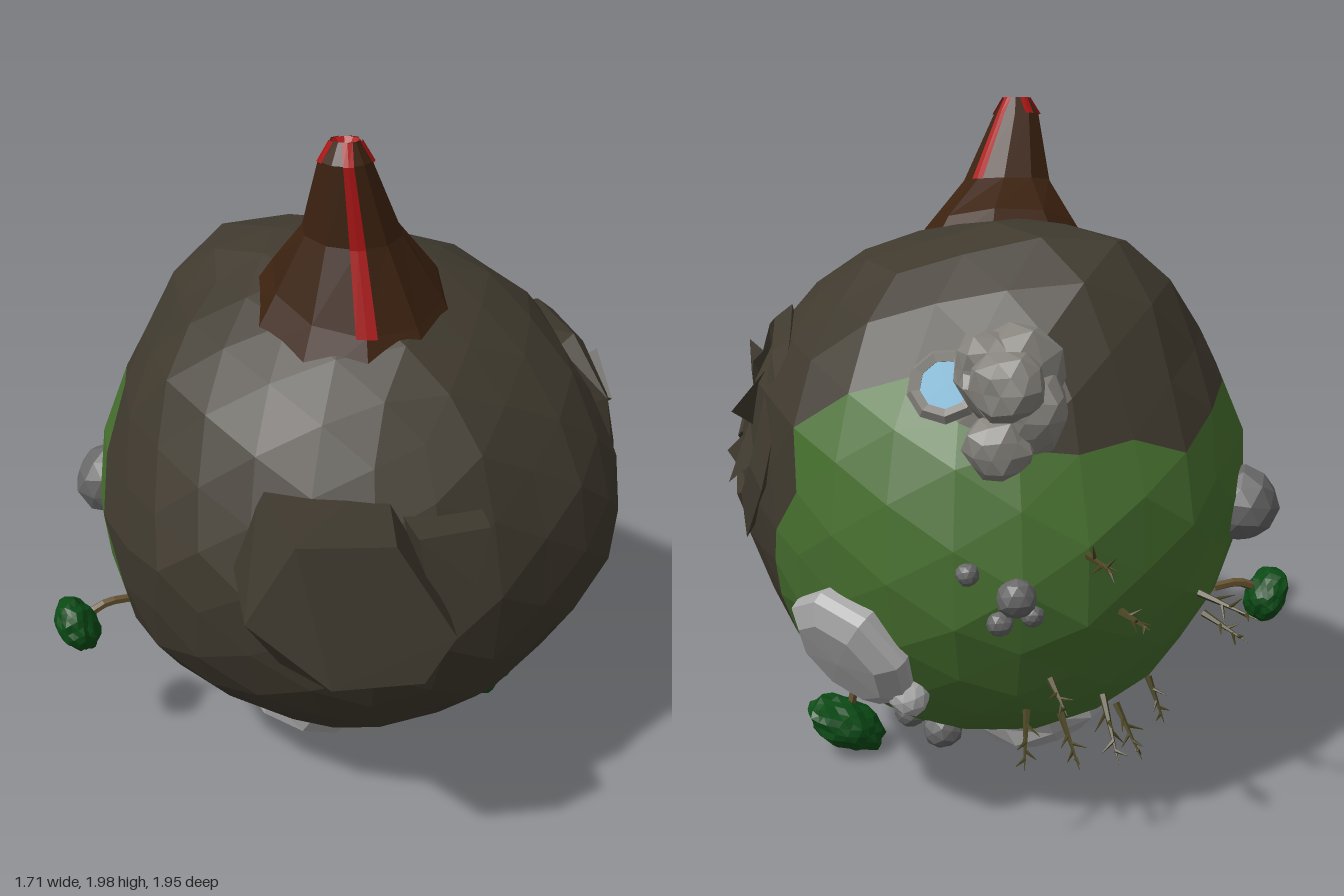
import * as THREE from 'three';
import { ConvexGeometry } from 'three/addons/geometries/ConvexGeometry.js';

const V = (x, y, z) => new THREE.Vector3(x, y, z);
const UP = V(0, 1, 0);
const CENTRE = V(0.085, 0.895, 0);
const RADIUS = 0.752;
const mat = (color) => new THREE.MeshStandardMaterial({ color, flatShading: true, side: THREE.DoubleSide });
const STONE = mat(0x3f392e), GRASS = mat(0x47702f), CONE = mat(0x3c2210), LAVA = mat(0xaa1414);
const PALE = mat(0xa9a9a9), GREY = mat(0x666666), CLIFF = mat(0x85827c), WATER = mat(0x4a9cc0);
const LEAF = mat(0x0b4a15), BARK = mat(0x63502f), THORN = mat(0x4a4423);

const mesh = (name, geo, material) => {
  const m = new THREE.Mesh(geo, material);
  m.name = name;
  return m;
};
const outward = (p) => p.clone().sub(CENTRE).normalize();
// Position an object and turn its y axis along a direction
const aim = (obj, p, dir = outward(p)) => {
  obj.position.copy(p);
  obj.quaternion.setFromUnitVectors(UP, dir.clone().normalize());
  return obj;
};
// Position-based noise, so vertices that coincide move together
const noise = (p, seed) => {
  const k = [p.x, p.y, p.z].map((c) => Math.round(c * 500));
  const s = Math.sin(k[0] * 12.9898 + k[1] * 78.233 + k[2] * 37.719 + seed * 4.7) * 43758.5453;
  return (s - Math.floor(s)) * 2 - 1;
};
const warp = (geo, rule) => {
  const a = geo.attributes.position, p = V(0, 0, 0);
  for (let i = 0; i < a.count; i++) {
    rule(p.fromBufferAttribute(a, i));
    a.setXYZ(i, p.x, p.y, p.z);
  }
  geo.computeVertexNormals();
  return geo;
};
const boulder = (name, material, p, size, seed, detail = 1, rough = 0.1) => {
  const geo = warp(new THREE.IcosahedronGeometry(1, detail), (v) => v.multiplyScalar(1 + rough * noise(v, seed)));
  geo.scale(...size);
  return aim(mesh(name, geo, material), p);
};

// Height of the grass edge for each bearing around the globe (0 = back, + = towards +x)
const EDGE = [[-180, -0.74], [-135, -0.66], [-110, -0.45], [-98, 0], [-80, 0.38], [-55, 0.27], [-12, 0.22], [6, 0.24],
  [25, 0.4], [37, 0.39], [55, 0.05], [65, -0.24], [75, -0.48], [105, -0.53], [131, -0.64], [150, -0.69], [180, -0.74]];
const grassEdge = (p) => {
  const deg = Math.atan2(p.x, -p.z) * 180 / Math.PI;
  const i = Math.max(1, EDGE.findIndex((e) => e[0] >= deg));
  const [a, b] = [EDGE[i - 1], EDGE[i]];
  return a[1] + (b[1] - a[1]) * (deg - a[0]) / (b[0] - a[0]);
};

// Swellings and dents of the globe: direction, height, spread
const BUMPS = [[V(-0.35, 0.75, -0.36), 0.095, 0.06], [V(-0.75, -0.25, 0.35), 0.04, 0.1], [V(0.75, 0, 0.55), 0.05, 0.08],
  [V(0, -0.15, 1), 0.075, 0.1], [V(0.95, 0, -0.28), -0.045, 0.06], [V(0, -0.25, -1), 0.07, 0.15], [V(0.7, -0.5, 0), -0.025, 0.1],
  [V(0.1, 0.5, -0.8), -0.03, 0.05], [V(0.15, -1, -0.05), 0.015, 0.1]].map(([d, h, w]) => [d.normalize(), h, w]);

// Bumpy globe, its faces split into bare stone and grass
function globe() {
  const geo = warp(new THREE.IcosahedronGeometry(1, 4), (v) => {
    // Vertices near the grass edge slide onto it, so the edge runs cleanly
    const edge = grassEdge(v) / RADIUS;
    if (Math.abs(v.y - edge) < 0.075) v.setY(edge).normalize();
    let r = RADIUS + 0.012 * noise(v, 3);
    for (const [d, h, w] of BUMPS) r += h * Math.exp(-(1 - v.dot(d)) / w);
    v.multiplyScalar(r);
  });
  const a = geo.attributes.position, stone = [], grass = [];
  for (let i = 0; i < a.count; i += 3) {
    const tri = [0, 1, 2].map((k) => V(0, 0, 0).fromBufferAttribute(a, i + k));
    const c = V(0, 0, 0).add(tri[0]).add(tri[1]).add(tri[2]).divideScalar(3);
    const list = c.y < grassEdge(c) ? grass : stone;
    for (const p of tri) list.push(...p.add(CENTRE).toArray());
  }
  const build = (name, list, m) => {
    const g = new THREE.BufferGeometry();
    g.setAttribute('position', new THREE.Float32BufferAttribute(list, 3));
    g.computeVertexNormals();
    return mesh(name, g, m);
  };
  return [build('stoneGround', stone, STONE), build('grassGround', grass, GRASS)];
}

// Volcano rings: centre, radius, tilt
const RINGS = [[V(0.03, 1.46, 0.21), 0.32, 0.4], [V(0.025, 1.6, 0.22), 0.235, 0.36], [V(0, 1.75, 0.255), 0.135, 0.12],
  [V(-0.035, 1.95, 0.31), 0.07, 0.05], [V(-0.035, 2, 0.31), 0.038, 0], [V(-0.035, 1.96, 0.31), 0.004, 0]];
const column = (i) => i * Math.PI / 5 - 0.135;
const ringPoint = (k, angle, grow = 0) => {
  const [c, r, tilt] = RINGS[k];
  const x = (r + grow) * Math.cos(angle), z = (r + grow) * Math.sin(angle);
  return V(c.x + x, c.y - tilt * z, c.z + z);
};
function loft(rows) {
  const n = rows[0].length, index = [], g = new THREE.BufferGeometry();
  for (let k = 0; k < rows.length - 1; k++) for (let i = 0; i < n - 1; i++) {
    const a = k * n + i, b = a + n;
    index.push(a, b, a + 1, a + 1, b, b + 1);
  }
  g.setAttribute('position', new THREE.Float32BufferAttribute(rows.flat().flatMap((p) => p.toArray()), 3));
  g.setIndex(index);
  g.computeVertexNormals();
  return g;
}
function volcano() {
  const g = new THREE.Group();
  g.name = 'volcano';
  const rows = (from, to) => RINGS.slice(from, to).map((_, k) =>
    Array.from({ length: 11 }, (_, i) => ringPoint(from + k, column(i % 10))));
  g.add(mesh('volcanoCone', loft(rows(0, 5)), CONE), mesh('craterLava', loft(rows(4, 6)), LAVA));
  // Lava streaks: column, lowest ring
  for (const [i, low] of [[3, 1], [9, 2], [5, 3], [1, 3], [7, 3]]) {
    const strip = [];
    for (let k = low; k < 5; k++) {
      const half = [0, 0.028, 0.02, 0.013, 0.012][k] / RINGS[k][1];
      strip.push([-half, 0, half].map((d) => ringPoint(k, column(i) + d, 0.005)));
    }
    g.add(mesh('lavaStreak', loft(strip), LAVA));
  }
  return g;
}

// Angular outcrops on the front
function outcrops() {
  const big = [[-0.44, 0.97, 0.85], [-0.32, 1.18, 0.88], [-0.08, 1.17, 0.92], [0.06, 0.93, 0.98], [-0.02, 0.81, 0.98], [-0.25, 0.81, 0.95],
    [-0.4, 0.97, 0.5], [-0.32, 1.17, 0.5], [0.02, 1.17, 0.5], [0.14, 0.93, 0.5], [-0.02, 0.74, 0.75], [-0.32, 0.74, 0.7]];
  const small = [[0, 1.14, 0.85], [0.2, 1.13, 0.82], [0.15, 1.0, 0.87], [0.04, 0.9, 0.88], [0, 1.14, 0.5], [0.23, 1.13, 0.6], [0.2, 0.92, 0.65]];
  return [big, small].map((pts) => mesh('frontOutcrop', new ConvexGeometry(pts.map((p) => V(...p))), STONE));
}

// Broken impact crater on the +x side
function crater() {
  const g = new THREE.Group();
  g.name = 'sideCrater';
  const rim = new THREE.TorusGeometry(0.29, 0.06, 4, 10).rotateX(Math.PI / 2);
  warp(rim, (v) => v.multiplyScalar(1 + 0.12 * noise(v, 8)));
  rim.scale(1, 0.7, 1);
  g.add(mesh('craterRim', rim, STONE));
  for (let i = 0; i < 6; i++) {
    const t = i / 6 * Math.PI * 2, r = 0.1 + 0.03 * (i % 3);
    const shard = mesh('craterShard', new THREE.TetrahedronGeometry(0.13).scale(1, 0.4, 1), STONE);
    shard.position.set(r * Math.cos(t), 0.035, r * Math.sin(t));
    shard.rotation.set(0.35 * Math.sin(i * 2), i * 2.1, 0.35 * Math.cos(i * 3));
    g.add(shard);
  }
  return aim(g, V(0.735, 1.09, 0.03), V(0.97, 0.24, -0.08));
}

// Tree with a bent trunk and a flattened crown
function tree(base, crown, size, seed) {
  const g = new THREE.Group();
  g.name = 'tree';
  const bend = base.clone().lerp(crown, 0.5).add(V(0, 0.025, 0));
  const path = new THREE.CatmullRomCurve3([base, bend, crown]);
  g.add(mesh('trunk', new THREE.TubeGeometry(path, 6, 0.014, 6), BARK));
  g.add(boulder('crown', LEAF, crown, size, seed, 3, 0.09));
  return g;
}

// Bare thorny branch with side twigs; the lower ones droop
function branch(base, length, seed) {
  const g = new THREE.Group();
  g.name = 'thornBranch';
  const stick = (len, r) => mesh('twig', new THREE.CylinderGeometry(0.001, r, len, 5).translate(0, len / 2, 0), THORN);
  g.add(stick(length, 0.011));
  for (let i = 0; i < 5; i++) {
    const t = seed + i * 2.4;
    g.add(aim(stick(length * (0.36 - 0.04 * i), 0.006), V(0, length * (0.25 + 0.14 * i), 0), V(Math.cos(t), 0.7, Math.sin(t))));
  }
  const droop = base.y < 0.45 ? -0.5 : 0.05;
  return aim(g, base, outward(base).add(V(0.2 * Math.sin(seed * 3), droop, 0.1 * Math.sin(seed))));
}

// Cliff with a pool on the upper back
function cliffPool() {
  const g = new THREE.Group();
  g.name = 'cliffPool';
  const lumps = [[0.1, 1.31, -0.7, 0.14], [0.06, 1.24, -0.77, 0.1], [0.16, 1.35, -0.72, 0.085], [0.14, 1.16, -0.79, 0.085], [0.12, 1.31, -0.81, 0.09]];
  lumps.forEach(([x, y, z, r], i) => g.add(boulder('cliffRock', CLIFF, V(x, y, z), [r, r * 0.9, r], i, 1, 0.12)));
  const pool = new THREE.Group();
  pool.name = 'pool';
  const rim = new THREE.TorusGeometry(0.08, 0.02, 5, 9).rotateX(Math.PI / 2);
  pool.add(mesh('poolRim', rim, CLIFF), mesh('poolWater', new THREE.CylinderGeometry(0.08, 0.06, 0.02, 9), WATER));
  g.add(aim(pool, V(0.26, 1.29, -0.67)));
  return g;
}

export function createModel() {
  const model = new THREE.Group();
  model.name = 'tinyPlanet';
  model.add(...globe(), volcano(), ...outcrops(), crater(), cliffPool());

  // Large bevelled slab and its knob
  const slab = new THREE.LatheGeometry([[0.17, -0.1], [0.2, 0], [0.195, 0.03], [0.14, 0.065], [0, 0.07]].map((p) => new THREE.Vector2(...p)), 8);
  model.add(aim(mesh('slabRock', slab, PALE), V(0.5, 0.565, -0.53), V(0.65, -0.5, -0.57)));
  model.add(boulder('slabKnob', PALE, V(0.36, 0.44, -0.59), [0.055, 0.05, 0.055], 5));

  // Hollow rock underneath
  const bowl = new THREE.LatheGeometry([[0.24, -0.08], [0.245, 0], [0.21, 0.06], [0.13, 0.1], [0.08, 0.09], [0.04, 0.05], [0, 0.04]]
    .map((p) => new THREE.Vector2(...p)), 10);
  warp(bowl, (v) => v.multiplyScalar(1 + 0.06 * noise(v, 2))).scale(1, 1, 0.9);
  model.add(aim(mesh('bottomRock', bowl, PALE), V(-0.08, 0.175, -0.03), V(-0.3, -0.75, -0.12)));

  // Round boulders: x, y, z, radius
  [[-0.62, 0.85, -0.27, 0.11], [0.1, 0.78, -0.81, 0.052], [0.14, 0.71, -0.79, 0.035], [0.06, 0.73, -0.8, 0.03], [0.22, 0.84, -0.79, 0.03],
    [0.34, 0.23, -0.2, 0.048], [0.25, 0.19, -0.25, 0.058]]
    .forEach(([x, y, z, r], i) => model.add(boulder('boulder', GREY, V(x, y, z), [r, r, r], i, 1, 0.05)));

  model.add(tree(V(0.47, 0.31, 0), V(0.53, 0.11, 0), [0.125, 0.072, 0.1], 1));
  model.add(tree(V(-0.6, 0.53, -0.07), V(-0.78, 0.49, -0.03), [0.085, 0.06, 0.09], 2));

  // Thorny branches: x, y, z, length
  [[-0.08, 0.88, -0.8, 0.17], [-0.43, 0.68, -0.54, 0.18], [-0.46, 0.6, -0.48, 0.15], [0, 0.52, -0.71, 0.13], [-0.16, 0.42, -0.59, 0.19],
    [-0.22, 0.34, -0.47, 0.17], [-0.34, 0.36, -0.34, 0.14], [-0.17, 0.72, -0.77, 0.11], [0.05, 0.4, -0.62, 0.16], [-0.05, 0.36, -0.56, 0.16]]
    .forEach(([x, y, z, len], i) => model.add(branch(V(x, y, z), len, i + 1)));
  return model;
}
